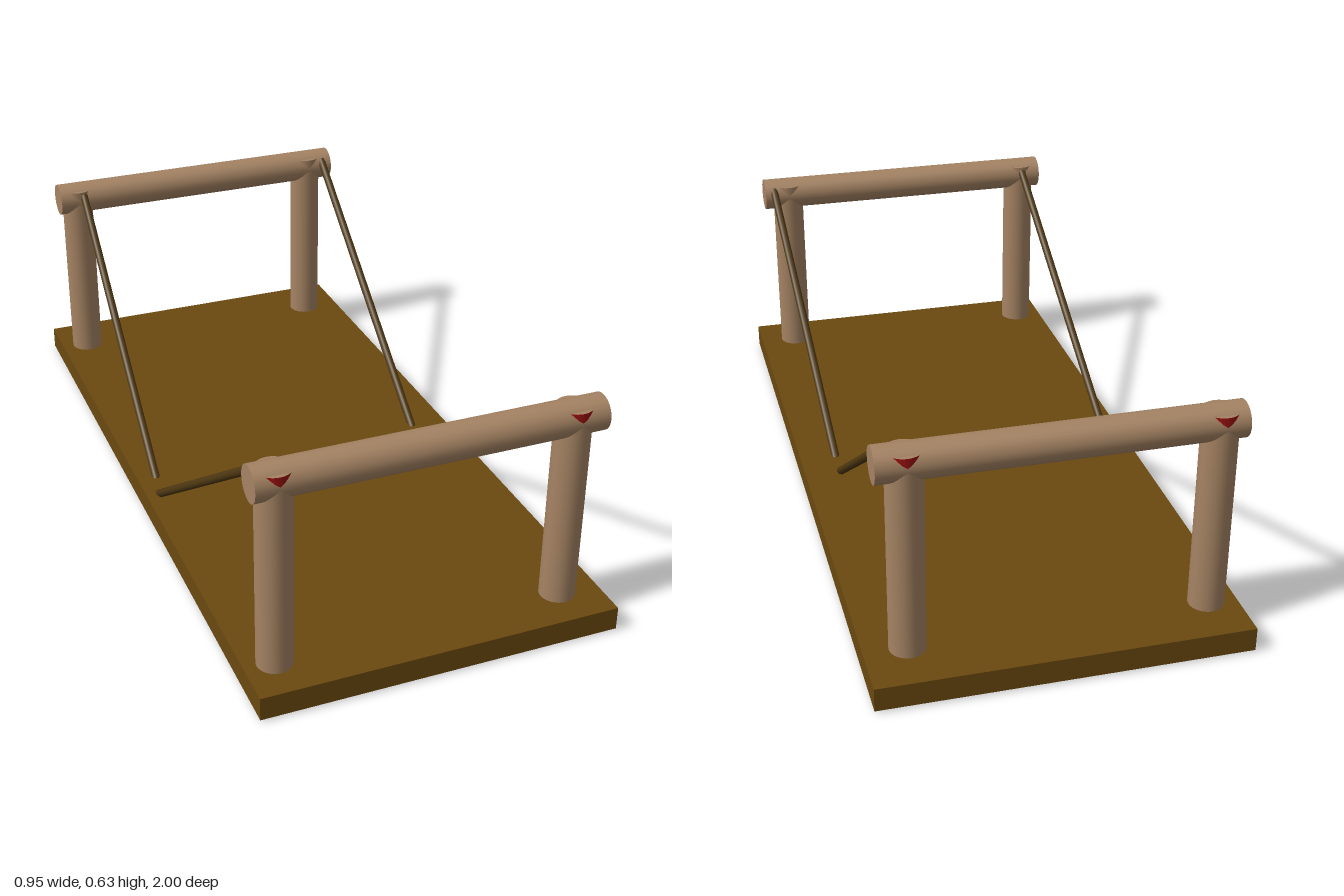
import * as THREE from 'three';

const mat = (color, side = THREE.FrontSide) => new THREE.MeshStandardMaterial({ color, side });
const wood = mat(0xa58363);
const woodOpen = mat(0xa58363, THREE.DoubleSide);
const plank = mat(0x6b490f);
const rope = mat(0x4d3711);
const red = mat(0x9c1010, THREE.DoubleSide);

const RAIL_Y = 0.582, POST_R = 0.046, POST_TOP = 0.613;

function add(parent, name, geometry, material, x = 0, y = 0, z = 0) {
  const mesh = new THREE.Mesh(geometry, material);
  mesh.name = name;
  mesh.position.set(x, y, z);
  parent.add(mesh);
  return mesh;
}

// Round bar between two points
function bar(parent, name, a, b, radius, material, sides = 32) {
  const dir = b.clone().sub(a);
  const mesh = add(parent, name, new THREE.CylinderGeometry(radius, radius, dir.length(), sides), material);
  mesh.position.copy(a).add(b).multiplyScalar(0.5);
  mesh.quaternion.setFromUnitVectors(new THREE.Vector3(0, 1, 0), dir.normalize());
}

// Post with a painted outer half on the part that pokes through the rail
function post(parent, x, z, outward) {
  const g = new THREE.Group();
  g.name = 'post';
  g.position.set(x, 0, z);
  parent.add(g);
  add(g, 'postShaft', new THREE.CylinderGeometry(POST_R, POST_R, RAIL_Y, 32), wood, 0, RAIL_Y / 2, 0);
  const h = POST_TOP - RAIL_Y;
  const half = (start) => new THREE.CylinderGeometry(POST_R, POST_R, h, 24, 1, true, start, Math.PI);
  const front = -Math.PI / 2, back = Math.PI / 2;
  add(g, 'paintedMark', half(outward > 0 ? front : back), red, 0, RAIL_Y + h / 2, 0);
  add(g, 'postTip', half(outward > 0 ? back : front), woodOpen, 0, RAIL_Y + h / 2, 0);
  add(g, 'postCap', new THREE.CircleGeometry(POST_R, 32).rotateX(-Math.PI / 2), wood, 0, POST_TOP, 0);
}

export function createModel() {
  const model = new THREE.Group();
  model.name = 'footbridge';

  add(model, 'deck', new THREE.BoxGeometry(0.95, 0.063, 2), plank, 0, 0.0365, 0);

  // One gate at each end: two posts, a cross rail and two stays to the deck
  const gates = [
    { name: 'frontGate', z: 0.885, out: 1, foot: 0.075, stays: [[-0.398, -0.437], [0.412, 0.373]] },
    { name: 'backGate', z: -0.86, out: -1, foot: 0.003, stays: [[-0.382, -0.422], [0.412, 0.373]] },
  ];
  for (const { name, z, out, foot, stays } of gates) {
    const gate = new THREE.Group();
    gate.name = name;
    model.add(gate);
    for (const x of [-0.396, 0.365]) post(gate, x, z, out);
    bar(gate, 'rail', new THREE.Vector3(-0.455, RAIL_Y, z), new THREE.Vector3(0.44, RAIL_Y, z), 0.0465, wood);
    for (const [topX, footX] of stays) {
      bar(gate, 'stay', new THREE.Vector3(footX, 0.06, foot),
        new THREE.Vector3(topX, 0.603, z - out * 0.03), 0.0115, rope, 12);
    }
  }
  return model;
}
